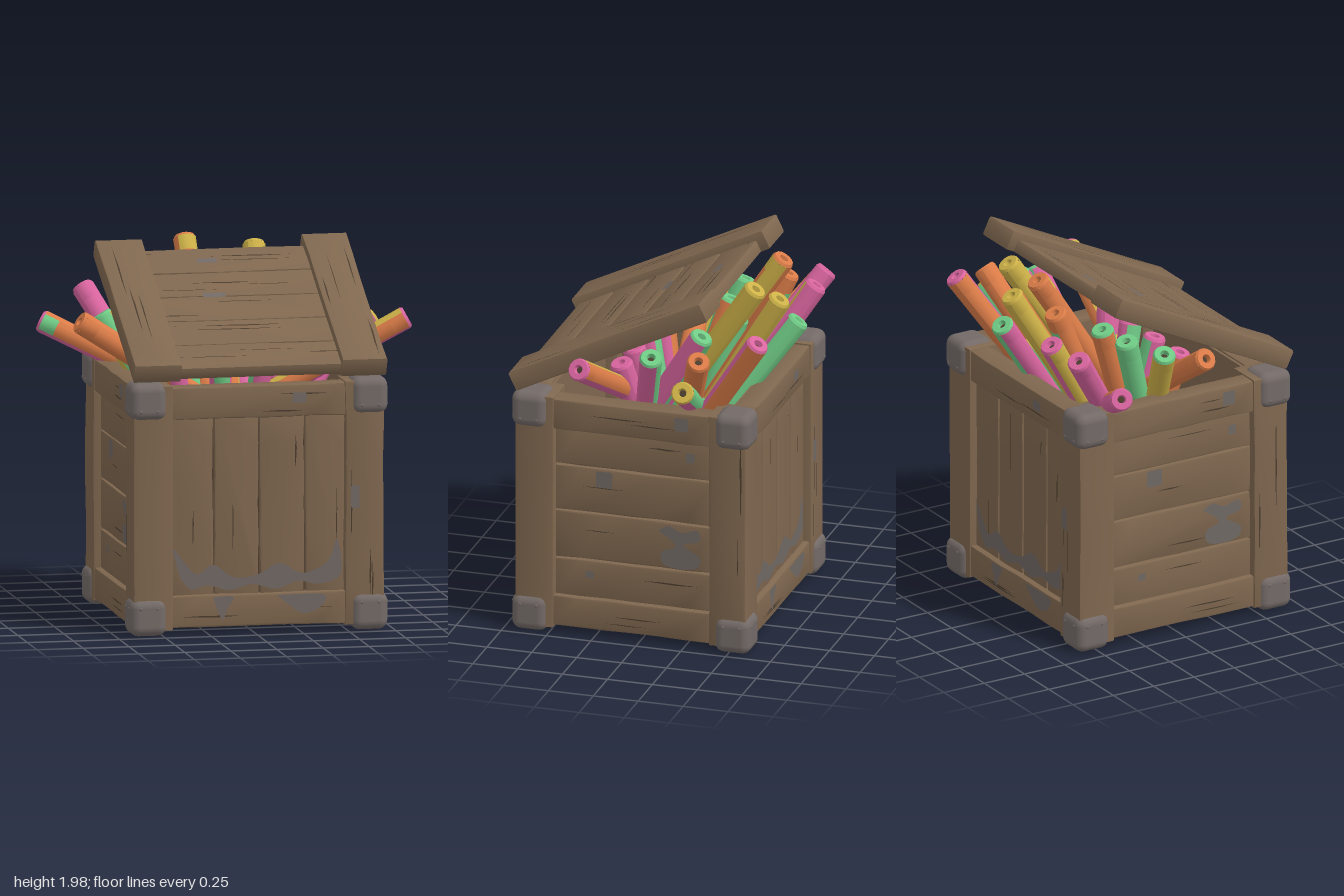
import * as THREE from 'three';
import { toCreasedNormals } from 'three/addons/utils/BufferGeometryUtils.js';
import { RoundedBoxGeometry } from 'three/addons/geometries/RoundedBoxGeometry.js';

const mat = (name, color) => {
  const m = new THREE.MeshStandardMaterial({ color });
  m.name = name;
  return m;
};
const wood = mat('wood', 0x7f674f);
const crack = mat('dark crack', 0x4a3c2e);
const metal = mat('grey metal', 0x736a67);
const worn = mat('worn grey', 0x706864);
const stickColours = {
  o: mat('orange', 0xdb7c48), p: mat('pink', 0xd9659f),
  g: mat('green', 0x70cb86), y: mat('yellow', 0xcdb148),
};

let seed = 7;
const rand = () => {
  seed = (seed * 16807) % 2147483647;
  return seed / 2147483647;
};
const jitter = (a) => (rand() - 0.5) * 2 * a;

function add(parent, name, geometry, material, x = 0, y = 0, z = 0) {
  const mesh = new THREE.Mesh(geometry, material);
  mesh.name = name;
  mesh.position.set(x, y, z);
  parent.add(mesh);
  return mesh;
}

// Rough board in the XY plane: uneven long edges, bevelled, front face at z
function plank(parent, name, w, h, d, x, y, z, cracks = 1) {
  const upright = h >= w;
  const len = upright ? h : w, half = (upright ? w : h) / 2;
  const n = 6, pts = [];
  for (const side of [-1, 1]) {
    for (let i = 0; i <= n; i++) {
      const along = side * (i / n - 0.5) * -len;
      const across = side * (half - rand() * 0.007);
      pts.push(upright ? new THREE.Vector2(across, along) : new THREE.Vector2(-along, across));
    }
  }
  const b = 0.01;
  const geo = new THREE.ExtrudeGeometry(new THREE.Shape(pts), {
    depth: d - 2 * b, bevelThickness: b, bevelSize: b, bevelOffset: -b, bevelSegments: 2,
  });
  geo.translate(0, 0, b - d);
  const g = new THREE.Group();
  g.name = name;
  g.position.set(x, y, z);
  parent.add(g);
  add(g, 'board', toCreasedNormals(geo, 0.6), wood);
  // Thin splits following the grain
  for (let i = 0; i < cracks; i++) {
    const l = len * (0.08 + 0.12 * rand()), t = 0.003 + 0.004 * rand();
    const s = new THREE.Shape([[-l, 0], [l * 0.2, -t], [l, 0], [-l * 0.3, t * 0.6]]
      .map((p) => new THREE.Vector2(...p)));
    const along = jitter(len / 2 - l - 0.03), across = jitter(half - 0.03);
    const m = add(g, 'grain split', new THREE.ShapeGeometry(s), crack,
      upright ? across : along, upright ? along : across, 0.002);
    if (upright) m.rotation.z = Math.PI / 2;
  }
  return g;
}

// Flat irregular worn patch
function patch(parent, points, z) {
  const s = new THREE.Shape();
  s.moveTo(...points[0]);
  s.splineThru([...points.slice(1), points[0]].map((p) => new THREE.Vector2(...p)));
  add(parent, 'worn patch', new THREE.ShapeGeometry(s, 4), worn, 0, 0, z);
}
const blob = (cx, cy, rx, ry) => [0, 1, 2, 3, 4, 5, 6, 7].map((i) => {
  const a = i * Math.PI / 4, r = i % 2 ? 1 : 0.75;
  return [cx + Math.cos(a) * rx * r, cy + Math.sin(a) * ry * r];
});

const HX = 0.68, HZ = 0.645, POST = 0.215;

// One crate wall facing +z: rails, recessed boards and worn paint
function wall(halfWidth, upright) {
  const g = new THREE.Group();
  const w = 2 * (halfWidth - POST) + 0.02;
  plank(g, 'topRail', w, 0.18, 0.12, 0, 1.245, -0.01, 2);
  plank(g, 'bottomRail', w, 0.18, 0.12, 0, 0.125, -0.01, 2);
  add(g, 'wallBacking', new THREE.BoxGeometry(w, 1.2, 0.04), crack, 0, 0.7, -0.1);
  add(g, 'wallLining', new THREE.BoxGeometry(w, 1.24, 0.03), wood, 0, 0.7, -0.13);
  const edges = upright ? [-0.5, -0.25, 0.01, 0.27, 0.5] : [0.2, 0.42, 0.69, 0.95, 1.17];
  for (let i = 0; i < 4; i++) {
    const a = edges[i], b = edges[i + 1], mid = (a + b) / 2;
    if (upright) plank(g, 'wallBoard', (b - a) * w, 0.98, 0.05, mid * w, 0.685, -0.045);
    else plank(g, 'wallBoard', w, b - a, 0.05, 0, mid, -0.045);
  }
  if (upright) {
    patch(g, [[-0.42, 0.3], [-0.46, 0.46], [-0.4, 0.39], [-0.33, 0.32], [-0.24, 0.37], [-0.13, 0.3],
      [0, 0.31], [0.12, 0.37], [0.24, 0.31], [0.38, 0.37], [0.43, 0.49], [0.45, 0.3], [0.33, 0.25],
      [0.22, 0.27], [0.1, 0.23], [-0.03, 0.26], [-0.15, 0.23], [-0.27, 0.26], [-0.36, 0.24]], -0.041);
    patch(g, [[-0.25, 0.2], [-0.14, 0.2], [-0.17, 0.14], [-0.2, 0.08]], -0.006);
    patch(g, [[0.1, 0.2], [0.35, 0.2], [0.33, 0.13], [0.24, 0.1], [0.16, 0.15]], -0.006);
    patch(g, blob(0.22, 1.26, 0.05, 0.035), -0.006);
    patch(g, blob(0.52, 0.72, 0.03, 0.08), 0.004);
  } else {
    patch(g, [[0.14, 0.64], [0.2, 0.67], [0.27, 0.64], [0.36, 0.66], [0.37, 0.6], [0.28, 0.57], [0.37, 0.51],
      [0.36, 0.45], [0.27, 0.43], [0.17, 0.45], [0.16, 0.52], [0.24, 0.56]], -0.041);
    patch(g, blob(-0.16, 0.89, 0.06, 0.06), -0.041);
    patch(g, blob(-0.24, 0.34, 0.03, 0.025), -0.041);
    patch(g, blob(0.32, 1.07, 0.03, 0.035), -0.041);
    patch(g, blob(0.28, 1.27, 0.05, 0.05), -0.006);
  }
  plank(g, 'cornerPost', POST, 1.31, POST, halfWidth - POST / 2, 0.685, 0, 3);
  return g;
}

function crate() {
  const g = new THREE.Group();
  g.name = 'crate';
  for (let i = 0; i < 4; i++) {
    const front = i % 2 === 0;
    const side = wall(front ? HX : HZ, front);
    side.name = ['frontWall', 'leftWall', 'backWall', 'rightWall'][i];
    const turn = i * Math.PI / 2, depth = front ? HZ : HX;
    side.rotation.y = turn;
    side.position.set(Math.sin(turn) * depth, 0, Math.cos(turn) * depth);
    g.add(side);
  }
  add(g, 'floor', new THREE.BoxGeometry(2 * HX - 0.05, 0.05, 2 * HZ - 0.05), wood, 0, 0.065, 0);
  // Metal corner caps with rivets
  const cap = new RoundedBoxGeometry(0.2, 0.2, 0.2, 3, 0.05);
  const rivet = new THREE.SphereGeometry(0.01, 8, 6);
  for (const sx of [-1, 1]) for (const sy of [-1, 1]) for (const sz of [-1, 1]) {
    const c = new THREE.Group();
    c.name = 'cornerCap';
    c.position.set(sx * (HX - 0.08), 0.68 + sy * 0.58, sz * (HZ - 0.08));
    add(c, 'cap', cap, metal);
    for (const k of [-0.045, 0.045]) {
      add(c, 'rivet', rivet, metal, k, -sy * 0.05, sz * 0.095);
      add(c, 'rivet', rivet, metal, sx * 0.095, -sy * 0.05, k);
    }
    g.add(c);
  }
  g.position.set(0.02, 0, 0.045);
  return g;
}

// Tilted lid: five boards held between two thick battens
function lid() {
  const g = new THREE.Group();
  g.name = 'lid';
  for (let i = 0; i < 5; i++) plank(g, 'lidBoard', 1.33, 0.227, 0.07, jitter(0.006), (i - 2) * 0.222 - 0.015, 0.015, 3);
  plank(g, 'lidBatten', 0.26, 1.18, 0.11, -0.55, 0, 0.055, 4);
  plank(g, 'lidBatten', 0.25, 1.18, 0.11, 0.565, 0, 0.055, 4);
  patch(g, blob(-0.12, 0.1, 0.08, 0.025), 0.019);
  patch(g, blob(-0.1, 0.42, 0.07, 0.025), 0.019);
  g.position.set(0.02, 1.67, 0.17);
  g.rotation.x = THREE.MathUtils.degToRad(-64);
  return g;
}

// Stick with a hollow end, painted in four lengthwise quarters, an end band and a tip
function stick([tx, ty, tz, bx, bz, body, tipColour, band = body]) {
  const tip = new THREE.Vector3(tx, ty, tz), base = new THREE.Vector3(bx, 1.0, bz);
  const up = tip.clone().sub(base), L = up.length();
  up.normalize();
  const out = new THREE.Vector3(0, 0, 1);
  out.addScaledVector(up, -out.dot(up)).normalize();
  const g = new THREE.Group();
  g.name = 'stick';
  g.applyMatrix4(new THREE.Matrix4().makeBasis(up.clone().cross(out), up, out).setPosition(base));
  const lathe = (points, ...sweep) => toCreasedNormals(
    new THREE.LatheGeometry(points.map((p) => new THREE.Vector2(...p)), ...sweep), 0.7);
  const bandStart = L - 0.1;
  for (let i = 0; i < 4; i++) {
    const sweep = [4, (i - 0.5) * Math.PI / 2, Math.PI / 2];
    add(g, 'stickQuarter', lathe([[0, 0], [0.055, 0], [0.061, bandStart]], ...sweep), stickColours[body[i]]);
    add(g, 'stickBand', lathe([[0.061, bandStart], [0.062, L - 0.015]], ...sweep), stickColours[band[i]]);
  }
  add(g, 'stickTip', lathe([[0.062, L - 0.015], [0.054, L], [0.024, L], [0.018, L - 0.03]], 14),
    stickColours[tipColour]);
  add(g, 'stickHole', new THREE.CircleGeometry(0.02, 8), crack, 0, L - 0.028, 0).rotation.x = -Math.PI / 2;
  return g;
}

// Tip x, y, z, base x, z, quarter colours (front, +x turn, back, -x turn), tip colour, end band colours
const STICKS = [
  [0.91, 1.61, 0.27, -0.2, 0.12, 'opoy', 'p'], [0.85, 1.52, -0.29, -0.1, -0.15, 'ppgy', 'y'],
  [0.75, 1.67, -0.35, 0.2, -0.1, 'oooo', 'o'], [0.70, 1.64, -0.07, 0.3, 0.1, 'ppgp', 'g'],
  [0.58, 1.74, -0.63, 0.4, -0.14, 'pooo', 'p'], [0.5, 1.71, -0.29, 0.4, 0.16, 'ppgp', 'g'],
  [0.24, 1.91, -0.51, 0.16, 0.1, 'yyyy', 'y'], [0.07, 1.8, -0.59, 0.04, -0.1, 'oyyy', 'y'],
  [0.02, 1.67, -0.68, 0.18, -0.2, 'pggp', 'g'], [-0.13, 1.95, -0.55, -0.1, 0.08, 'oyoo', 'o', 'yyoo'],
  [-0.28, 1.81, -0.53, -0.2, -0.15, 'oogo', 'o', 'oooo'], [-0.42, 1.7, -0.64, -0.26, -0.2, 'yppy', 'p'],
  [-0.67, 1.69, -0.62, -0.3, -0.12, 'pppp', 'p'], [-0.92, 1.53, -0.5, 0.15, -0.04, 'oopp', 'p', 'gopp'],
  [-0.83, 1.61, 0.08, 0.1, 0, 'oooo', 'o'], [-0.68, 1.62, -0.09, -0.3, 0.05, 'gyyy', 'g'],
  [-0.5, 1.66, -0.22, -0.35, 0, 'gggg', 'g'], [0.33, 1.64, -0.24, 0.25, 0.1, 'ppgp', 'g'],
  [-0.05, 1.62, -0.32, 0, -0.1, 'pggg', 'g'], [-0.25, 1.64, -0.22, -0.15, 0, 'gooo', 'g'],
  [0.38, 1.46, 0.2, 0.25, 0.1, 'pppp', 'p'], [0.15, 1.46, 0.2, 0.1, 0.1, 'pppg', 'p'],
  [-0.1, 1.46, 0.2, -0.05, 0.1, 'gpgp', 'p'], [-0.36, 1.46, 0.2, -0.25, 0.1, 'ppoo', 'p'],
];

export function createModel() {
  const model = new THREE.Group();
  model.name = 'crateOfSticks';
  const sticks = new THREE.Group();
  sticks.name = 'sticks';
  STICKS.forEach((s) => sticks.add(stick(s)));
  model.add(crate(), lid(), sticks);
  return model;
}
